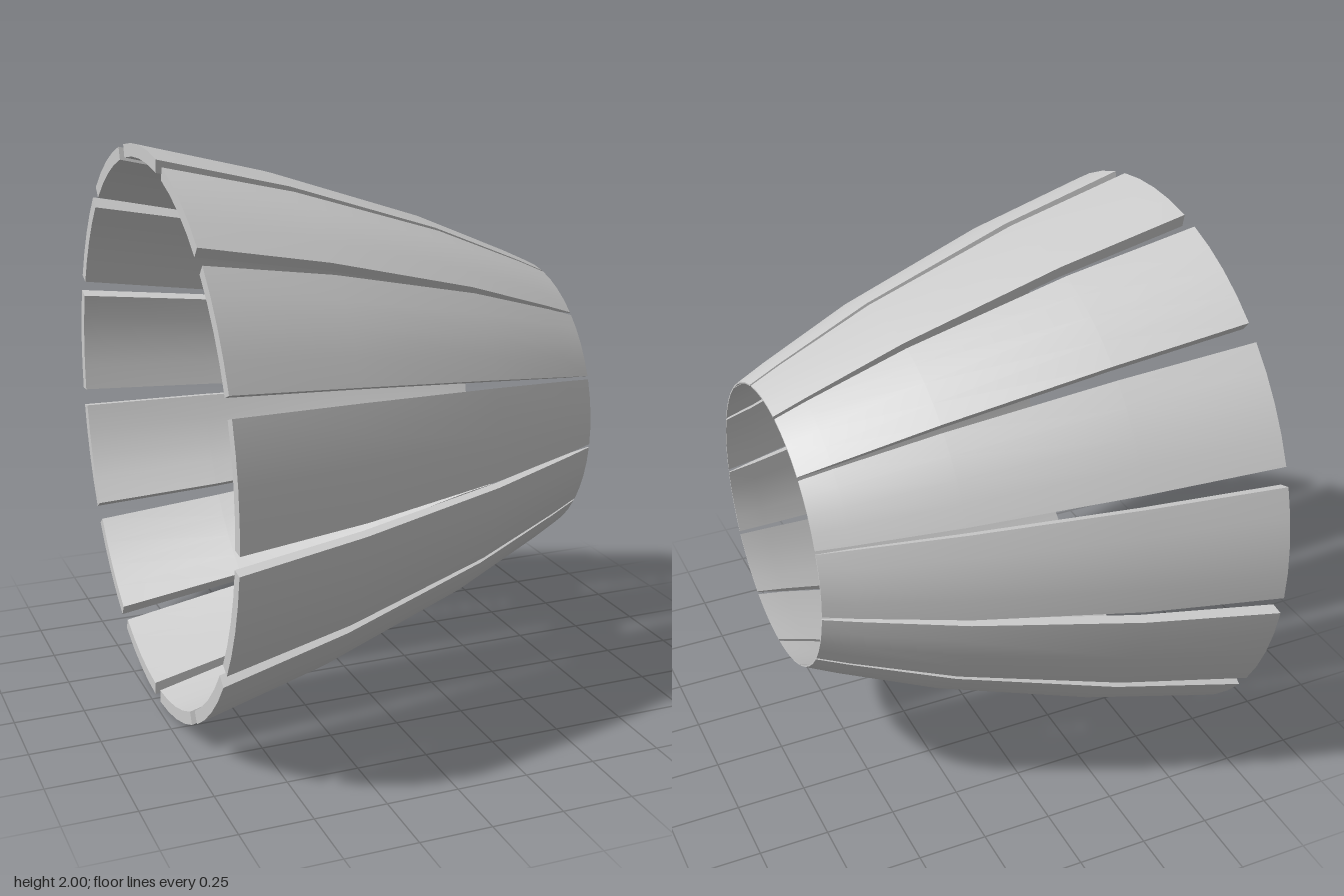
import * as THREE from 'three';
import { toCreasedNormals } from 'three/addons/utils/BufferGeometryUtils.js';

const PETALS = 13;
const ARC_STEPS = 4;

// Stations along the axis: x, outer radius, wall thickness, gap to the next petal
const STATIONS = [
  [-0.727, 1.0, 0.045, 0.068],
  [-0.27, 0.885, 0.04, 0.048],
  [0.28, 0.702, 0.035, 0.026],
  [0.62, 0.556, 0.022, 0.014],
  [0.727, 0.506, 0.005, 0.012],
];

// Closed cross-section of one petal: outer arc forward, inner arc back
function crossSection([x, radius, wall, gap]) {
  const half = Math.PI / PETALS - gap / (2 * radius);
  const outer = [], inner = [];
  for (let j = 0; j <= ARC_STEPS; j++) {
    const a = half * (2 * j / ARC_STEPS - 1);
    const at = (r) => [x, r * Math.cos(a), r * Math.sin(a)];
    outer.push(at(radius));
    inner.unshift(at(radius - wall));
  }
  return [...outer, ...inner];
}

function petalGeometry() {
  const rings = STATIONS.map(crossSection);
  const n = rings[0].length;
  const pos = [];
  const quad = (a, b, c, d) => pos.push(...a, ...b, ...c, ...a, ...c, ...d);

  // Skin between neighbouring cross-sections
  for (let i = 0; i < rings.length - 1; i++) {
    for (let j = 0; j < n; j++) {
      const k = (j + 1) % n;
      quad(rings[i][j], rings[i][k], rings[i + 1][k], rings[i + 1][j]);
    }
  }

  // End caps
  const wide = rings[0], narrow = rings[rings.length - 1];
  for (let j = 0; j < ARC_STEPS; j++) {
    const p = n - 1 - j, q = n - 2 - j;
    quad(wide[j], wide[p], wide[q], wide[j + 1]);
    quad(narrow[j], narrow[j + 1], narrow[q], narrow[p]);
  }

  const geometry = new THREE.BufferGeometry();
  geometry.setAttribute('position', new THREE.Float32BufferAttribute(pos, 3));
  return toCreasedNormals(geometry, 0.5);
}

export function createModel() {
  const group = new THREE.Group();
  group.name = 'nozzlePetals';
  const material = new THREE.MeshStandardMaterial({ color: 0xcccccc });
  const geometry = petalGeometry();

  // Ring of petals around the x axis, first one on top
  for (let i = 0; i < PETALS; i++) {
    const petal = new THREE.Mesh(geometry, material);
    petal.name = `petal${i + 1}`;
    petal.position.y = 1;
    petal.rotation.x = (i / PETALS) * Math.PI * 2;
    group.add(petal);
  }
  return group;
}
